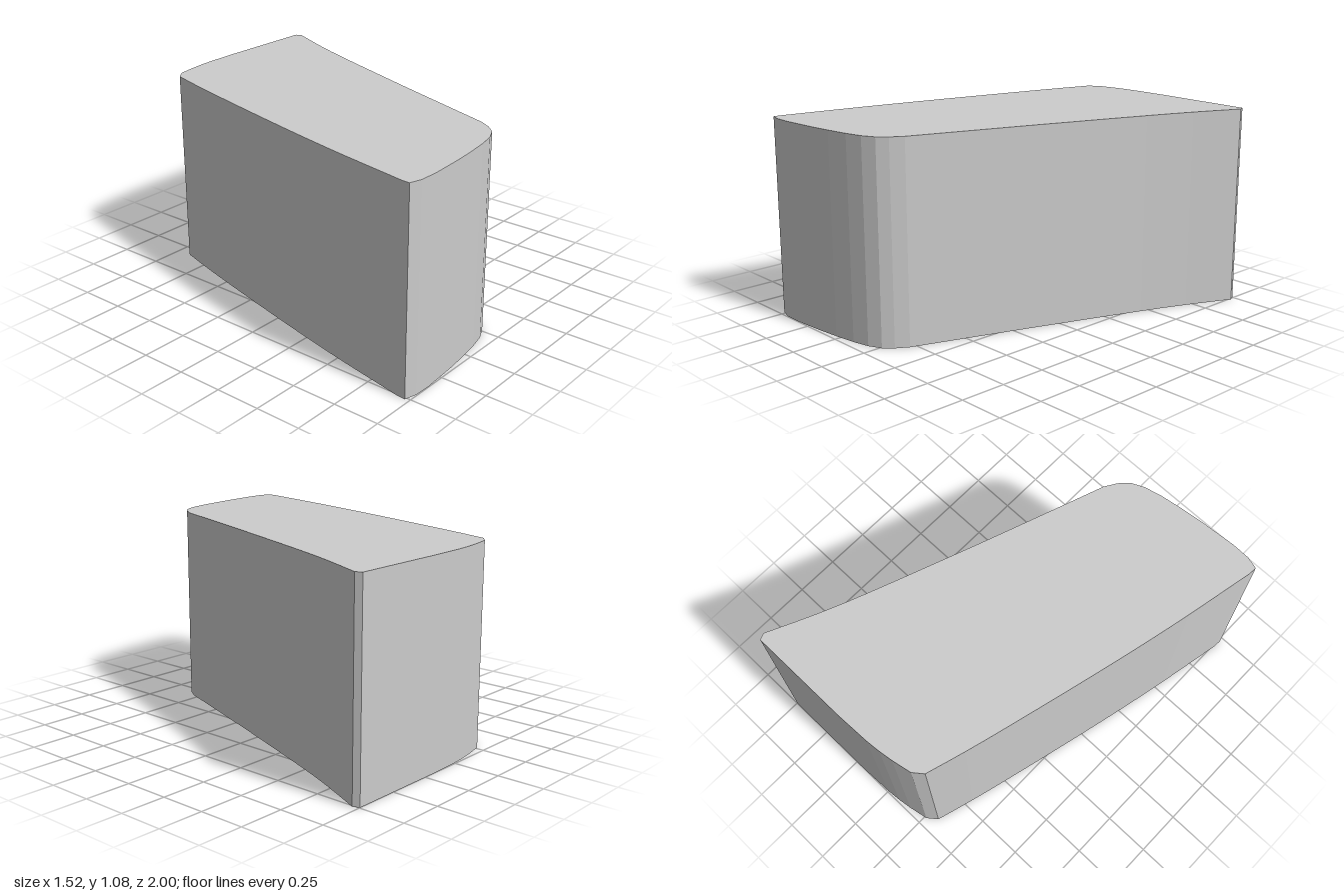
import * as THREE from 'three';

const HEIGHT = 1.08;

// Gently bowed long walls, as [x, z]
const rightWall = [[0.76, -0.966], [0.595, -0.595], [0.373, 0], [0.23, 0.4], [0.095, 0.785]];
const leftWall = [[-0.76, 0.93], [-0.738, 0.82], [-0.663, 0.45], [-0.558, 0], [-0.405, -0.6], [-0.315, -0.913]];

// Short ends with one rounded and one tight corner each
const frontEnd = [[0.055, 0.85], [0.01, 0.897], [-0.06, 0.93], [-0.155, 0.952], [-0.28, 0.97],
  [-0.4, 0.983], [-0.6, 0.997], [-0.7, 0.994], [-0.763, 0.976]];
const backEnd = [[-0.262, -0.955], [-0.156, -0.976], [-0.08, -0.987], [0, -0.994], [0.19, -1], [0.745, -1]];

// The shape lies in x / -z so that it can be tipped upright after extrusion
const toPoints = (list) => list.map(([x, z]) => new THREE.Vector2(x, -z));
const smooth = (list, n) => new THREE.SplineCurve(toPoints(list)).getPoints(n);

export function createModel() {
  const group = new THREE.Group();
  group.name = 'slantedBlock';

  const outline = new THREE.Shape([
    ...smooth(rightWall, 16),
    ...toPoints(frontEnd),
    ...smooth(leftWall, 20),
    ...toPoints(backEnd),
  ]);
  const geometry = new THREE.ExtrudeGeometry(outline, { depth: HEIGHT, bevelEnabled: false });
  geometry.rotateX(-Math.PI / 2);

  const body = new THREE.Mesh(
    geometry,
    new THREE.MeshStandardMaterial({ color: 0xcccccc, flatShading: true }),
  );
  body.name = 'body';
  group.add(body);
  return group;
}
